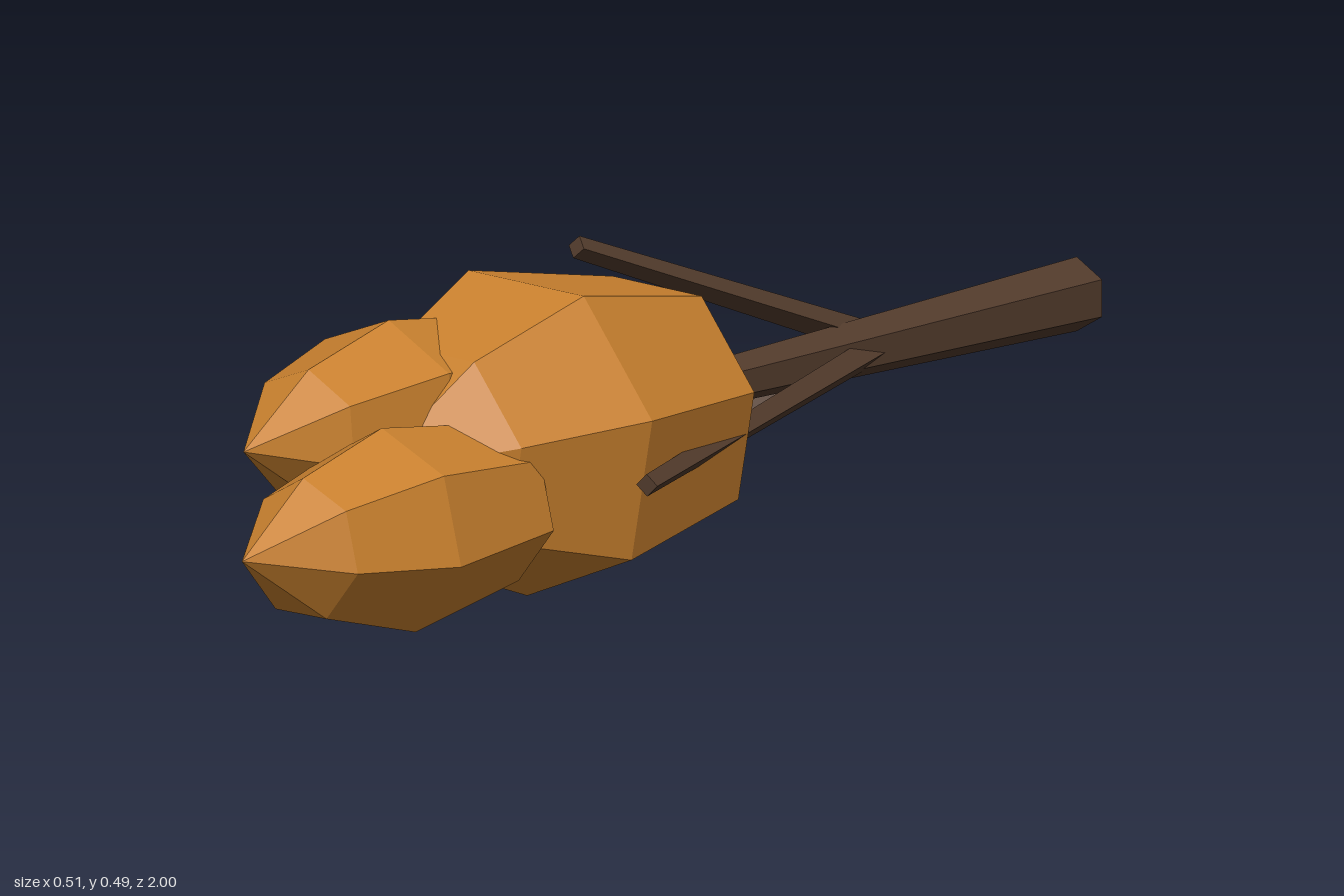
import * as THREE from 'three';

const bark = new THREE.MeshStandardMaterial({ color: 0x523b2c, flatShading: true, side: THREE.DoubleSide });
const leaves = new THREE.MeshStandardMaterial({ color: 0xc8802e, flatShading: true });

// Cross-sections of a leaf clump along z: [position in length, share of full radius]
const PROFILE = [[0, 0], [0.17, 0.77], [0.54, 1], [0.8, 0.69], [1, 0]];

// Seven-sided clump from z0 to z1; radii holds the slightly uneven spoke lengths
function clump(name, x, y, z0, z1, startDeg, radii) {
  const n = radii.length;
  const pos = [];
  const index = [];
  PROFILE.forEach(([t, s]) => {
    radii.forEach((r, j) => {
      const a = THREE.MathUtils.degToRad(startDeg) + (j / n) * Math.PI * 2;
      pos.push(x + Math.cos(a) * r * s, y + Math.sin(a) * r * s, z0 + (z1 - z0) * t);
    });
  });
  for (let i = 0; i < PROFILE.length - 1; i++) {
    for (let j = 0; j < n; j++) {
      const k = (j + 1) % n;
      const a = i * n + j, b = i * n + k, c = b + n, d = a + n;
      if (i > 0) index.push(a, b, c);
      if (i < PROFILE.length - 2) index.push(a, c, d);
      else if (i === 0) index.push(a, c, d);
    }
  }
  const geo = new THREE.BufferGeometry();
  geo.setAttribute('position', new THREE.Float32BufferAttribute(pos, 3));
  geo.setIndex(index);
  const flat = geo.toNonIndexed();
  flat.computeVertexNormals();
  const mesh = new THREE.Mesh(flat, leaves);
  mesh.name = name;
  return mesh;
}

// Tapered limb between two points
function limb(name, from, to, r0, r1, sides, open) {
  const a = new THREE.Vector3(...from), b = new THREE.Vector3(...to);
  const geo = new THREE.CylinderGeometry(r1, r0, a.distanceTo(b), sides, 1, open);
  geo.rotateX(Math.PI / 2);
  const mesh = new THREE.Mesh(geo, bark);
  mesh.position.copy(a).add(b).multiplyScalar(0.5);
  mesh.lookAt(b);
  mesh.name = name;
  return mesh;
}

export function createModel() {
  const tree = new THREE.Group();
  tree.name = 'fallenTree';

  // Trunk lying along z, open at the cut end
  tree.add(limb('trunk', [0, 0.25, -1], [0, 0.25, 0.2], 0.056, 0.026, 6, true));

  // Three bare branches spreading from the trunk
  const fork = [0, 0.248, -0.56];
  [
    ['upperBranch', [-0.095, 0.475, 0.035]],
    ['lowerBranch', [-0.21, 0.033, 0.1]],
    ['leftBranch', [0.245, 0.202, 0.28]],
  ].forEach(([name, tip]) => tree.add(limb(name, fork, tip, 0.024, 0.017, 4, false)));

  // Crown of three leaf clumps
  tree.add(
    clump('mainClump', 0, 0.24, -0.177, 0.635, -90, [0.24, 0.256, 0.246, 0.25, 0.26, 0.26, 0.236]),
    clump('upperClump', -0.08, 0.295, 0.13, 0.817, 33, [0.155, 0.15, 0.15, 0.15, 0.147, 0.15, 0.15]),
    clump('frontClump', 0.07, 0.18, 0.31, 1, -14, [0.16, 0.154, 0.15, 0.14, 0.162, 0.163, 0.163]),
  );
  return tree;
}
